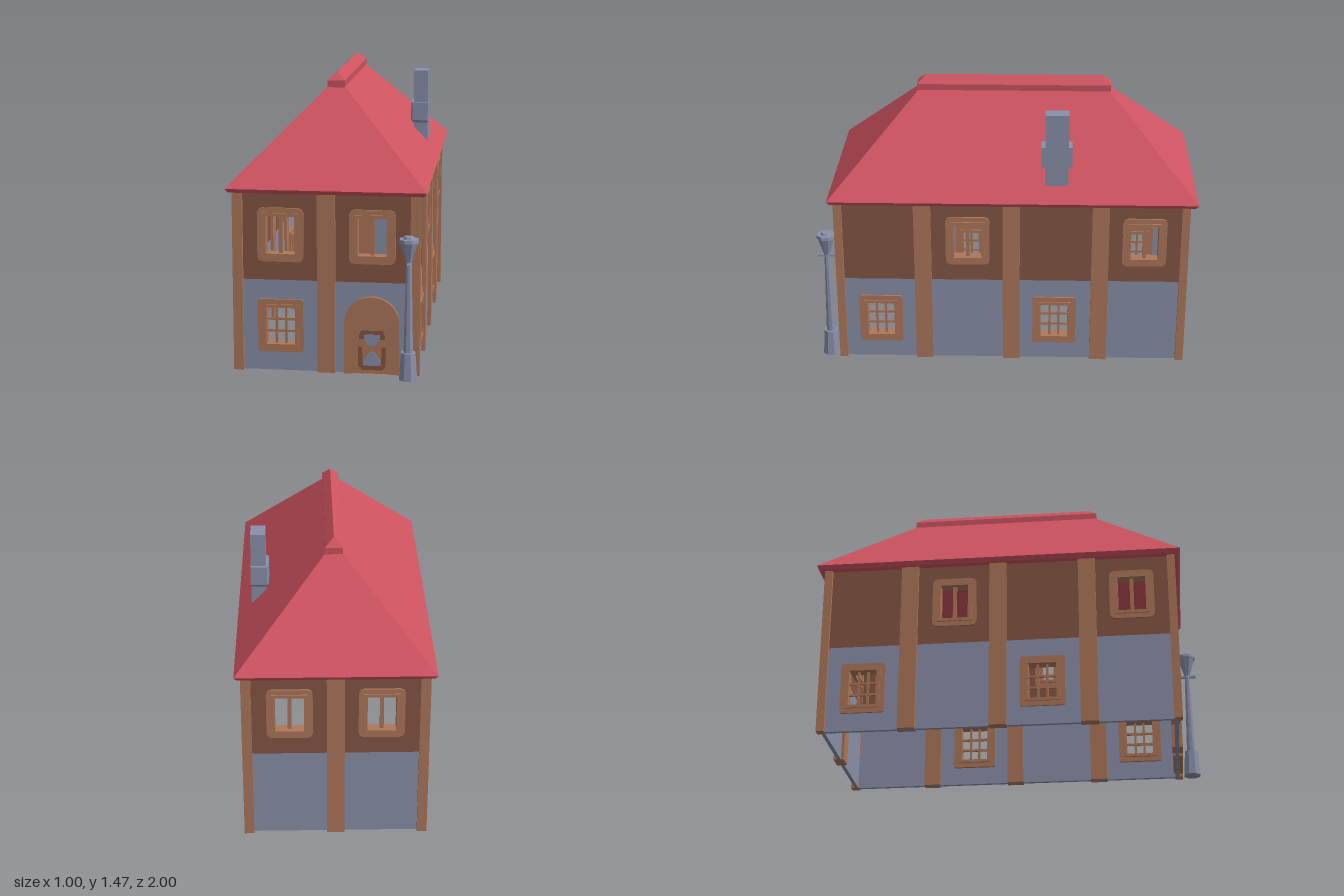
import * as THREE from 'three';
import { ConvexGeometry } from 'three/addons/geometries/ConvexGeometry.js';

const material = (name, color) => {
  const m = new THREE.MeshStandardMaterial({ color });
  m.name = name;
  return m;
};

export function createModel() {
  const stone = material('blue grey stone', 0x8a90aa);
  const plaster = material('dark brown plaster', 0x855644);
  const timber = material('tan timber', 0xae775a);
  const tile = material('red roof tile', 0xcd5360);

  const model = new THREE.Group();
  model.name = 'house';

  const add = (parent, name, geometry, mat, x = 0, y = 0, z = 0) => {
    const mesh = new THREE.Mesh(geometry, mat);
    mesh.name = name;
    mesh.position.set(x, y, z);
    parent.add(mesh);
    return mesh;
  };
  const box = (parent, name, w, h, d, mat, x, y, z) =>
    add(parent, name, new THREE.BoxGeometry(w, h, d), mat, x, y, z);
  const hull = (parent, name, pts, mat) =>
    add(parent, name, new ConvexGeometry(pts.map(p => new THREE.Vector3(...p))), mat);
  // flat slab between two depths
  const slab = (parent, name, shape, back, front, mat, x = 0, y = 0) =>
    add(parent, name, new THREE.ExtrudeGeometry(shape,
      { depth: front - back, bevelEnabled: false, curveSegments: 12 }), mat, x, y, back);
  const polygon = pts => new THREE.Shape(pts.map(p => new THREE.Vector2(...p)));
  // rectangle by centre and half sizes, with cut corners
  const rect = (x, y, a, b, c = 0) => polygon(c
    ? [[x - a + c, y - b], [x + a - c, y - b], [x + a - c * 0.3, y - b + c * 0.3], [x + a, y - b + c],
      [x + a, y + b - c], [x + a - c * 0.3, y + b - c * 0.3], [x + a - c, y + b], [x - a + c, y + b],
      [x - a + c * 0.3, y + b - c * 0.3], [x - a, y + b - c], [x - a, y - b + c], [x - a + c * 0.3, y - b + c * 0.3]]
    : [[x - a, y - b], [x + a, y - b], [x + a, y + b], [x - a, y + b]]);
  const withHoles = (shape, holes) => {
    shape.holes.push(...holes);
    return shape;
  };

  // window: stepped frame and bars, local z = 0 on the outer wall face
  const UPPER_Y = 0.702, LOWER_Y = 0.234;
  const addWindow = (wall, x, upper) => {
    const g = new THREE.Group();
    g.name = upper ? 'upperWindow' : 'lowerWindow';
    g.position.set(x, upper ? UPPER_Y : LOWER_Y, 0);
    wall.add(g);
    slab(g, 'outerFrame', withHoles(rect(0, 0, 0.116, 0.137, upper ? 0.026 : 0.012),
      [rect(0, 0, 0.09, 0.111)]), -0.035, 0.01, timber);
    slab(g, 'innerFrame', withHoles(rect(0, 0, 0.0905, 0.1115), [rect(0, 0, 0.072, 0.095)]),
      -0.045, 0.017, timber);
    const columns = upper ? [0] : [-0.024, 0.024];
    for (const c of columns) box(g, 'bar', upper ? 0.02 : 0.012, 0.19, 0.012, timber, c, 0, -0.012);
    if (!upper) for (const r of [-0.031, 0.031]) box(g, 'crossBar', 0.144, 0.012, 0.01, timber, 0, r, -0.012);
  };

  // wall: stone below, plaster above, with posts and windows
  const addWall = (name, width, position, turn, posts, uppers, lowers) => {
    const g = new THREE.Group();
    g.name = name;
    g.position.set(...position);
    g.rotation.y = turn;
    model.add(g);
    const holes = (xs, y) => xs.map(x => rect(x, y, 0.082, 0.103));
    slab(g, 'stoneBand', withHoles(rect(0, 0.235, width / 2, 0.235), holes(lowers, LOWER_Y)), -0.02, 0, stone);
    slab(g, 'plasterBand', withHoles(rect(0, 0.695, width / 2, 0.225), holes(uppers, UPPER_Y)), -0.02, 0, plaster);
    for (const x of posts) box(g, 'post', 0.09, 0.92, 0.055, timber, x, 0.46, -0.0075);
    for (const x of uppers) addWindow(g, x, true);
    for (const x of lowers) addWindow(g, x, false);
    return g;
  };
  const front = addWall('frontWall', 0.9, [0, 0, 0.88], 0, [0], [-0.23, 0.23], [-0.23]);
  addWall('backWall', 0.9, [0, 0, -0.94], Math.PI, [0], [-0.23, 0.23], []);
  for (const s of [1, -1]) {
    addWall(s > 0 ? 'rightViewWall' : 'oppositeWall', 1.82, [s * 0.45, 0, -0.03], s * Math.PI / 2,
      [-0.468, 0, 0.468], [-0.23, 0.70], [-0.70, 0.23]);
    for (const z of [0.88, -0.94]) box(model, 'cornerPost', 0.05, 0.92, 0.042, timber, s * 0.445, 0.46, z);
  }

  // arched door with surround and ornament
  const arch = r => {
    const s = new THREE.Shape();
    s.moveTo(-r, 0);
    s.lineTo(r, 0);
    s.lineTo(r, 0.26);
    s.absarc(0, 0.26, r, 0, Math.PI, false);
    s.lineTo(-r, 0);
    return s;
  };
  const door = new THREE.Group();
  door.name = 'door';
  door.position.x = 0.23;
  front.add(door);
  slab(door, 'doorSurround', withHoles(arch(0.139), [arch(0.0951)]), -0.03, 0.02, timber);
  slab(door, 'doorPanel', arch(0.0955), -0.03, 0.01, timber);
  slab(door, 'topOrnament', polygon([[-0.065, 0.18], [0.065, 0.18], [0.065, 0.2], [0.055, 0.225],
    [-0.055, 0.225], [-0.065, 0.2]]), 0.01, 0.014, plaster);
  slab(door, 'bottomOrnament', polygon([[-0.05, 0.02], [0.05, 0.02], [0.07, 0.04], [0.07, 0.14],
    [0.05, 0.14], [0.045, 0.045], [-0.045, 0.045], [-0.05, 0.14], [-0.07, 0.14], [-0.07, 0.04]]),
  0.01, 0.014, plaster);
  slab(door, 'upperInlay', polygon([[-0.018, 0.147], [0.018, 0.147], [0.04, 0.18], [0.04, 0.2],
    [0.03, 0.205], [-0.03, 0.205], [-0.04, 0.2], [-0.04, 0.18]]), 0.01, 0.016, stone);
  slab(door, 'lowerInlay', polygon([[-0.043, 0.043], [0.043, 0.043], [0.043, 0.065], [0.015, 0.11],
    [0, 0.117], [-0.015, 0.11], [-0.043, 0.065]]), 0.01, 0.016, stone);

  // hipped roof and ridge cap: rings of [half width, y, front z, back z]
  const hipped = (name, rings) => hull(model, name, rings.flatMap(([x, y, f, b]) =>
    [[x, y, f], [-x, y, f], [x, y, b], [-x, y, b]]), tile);
  hipped('roof', [[0.485, 0.916, 0.915, -0.985], [0.5, 0.937, 0.93, -1], [0, 1.437, 0.43, -0.5]]);
  hipped('ridgeCap', [[0.045, 1.39, 0.48, -0.55], [0.045, 1.425, 0.48, -0.55], [0, 1.467, 0.435, -0.505]]);

  // chimney with a thicker collar
  box(model, 'chimney', 0.077, 0.4, 0.122, stone, 0.3875, 1.2, -0.264);
  const collar = (y, o) => [[0.428, y, -0.2 + o], [0.35 - o * 0.5, y, -0.2 + o], [0.35 - o, y, -0.207],
    [0.35 - o, y, -0.323], [0.35 - o * 0.5, y, -0.328 - o], [0.428, y, -0.328 - o]];
  hull(model, 'chimneyCollar', [...collar(1.112, 0.007), ...collar(1.125, 0.016), ...collar(1.225, 0.016)], stone);

  // street lamp, stacked eight sided sections: name, y0, y1, r0, r1
  const lamp = new THREE.Group();
  lamp.name = 'streetLamp';
  lamp.position.set(0.417, 0, 0.952);
  model.add(lamp);
  for (const [name, y0, y1, r0, r1] of [
    ['lampBase', 0, 0.14, 0.044, 0.035],
    ['lampPole', 0.14, 0.605, 0.023, 0.013],
    ['lampHead', 0.6, 0.698, 0.015, 0.042],
    ['lampRim', 0.698, 0.715, 0.048, 0.046],
    ['lampTop', 0.715, 0.728, 0.028, 0.022],
  ]) {
    const k = 1 / Math.cos(Math.PI / 8);
    const geometry = new THREE.CylinderGeometry(r1 * k, r0 * k, y1 - y0, 8).rotateY(Math.PI / 8).toNonIndexed();
    geometry.computeVertexNormals();
    add(lamp, name, geometry, stone, 0, (y0 + y1) / 2, 0);
  }
  box(lamp, 'lampCrossBar', 0.014, 0.012, 0.096, stone, 0, 0.59, 0);
  return model;
}
